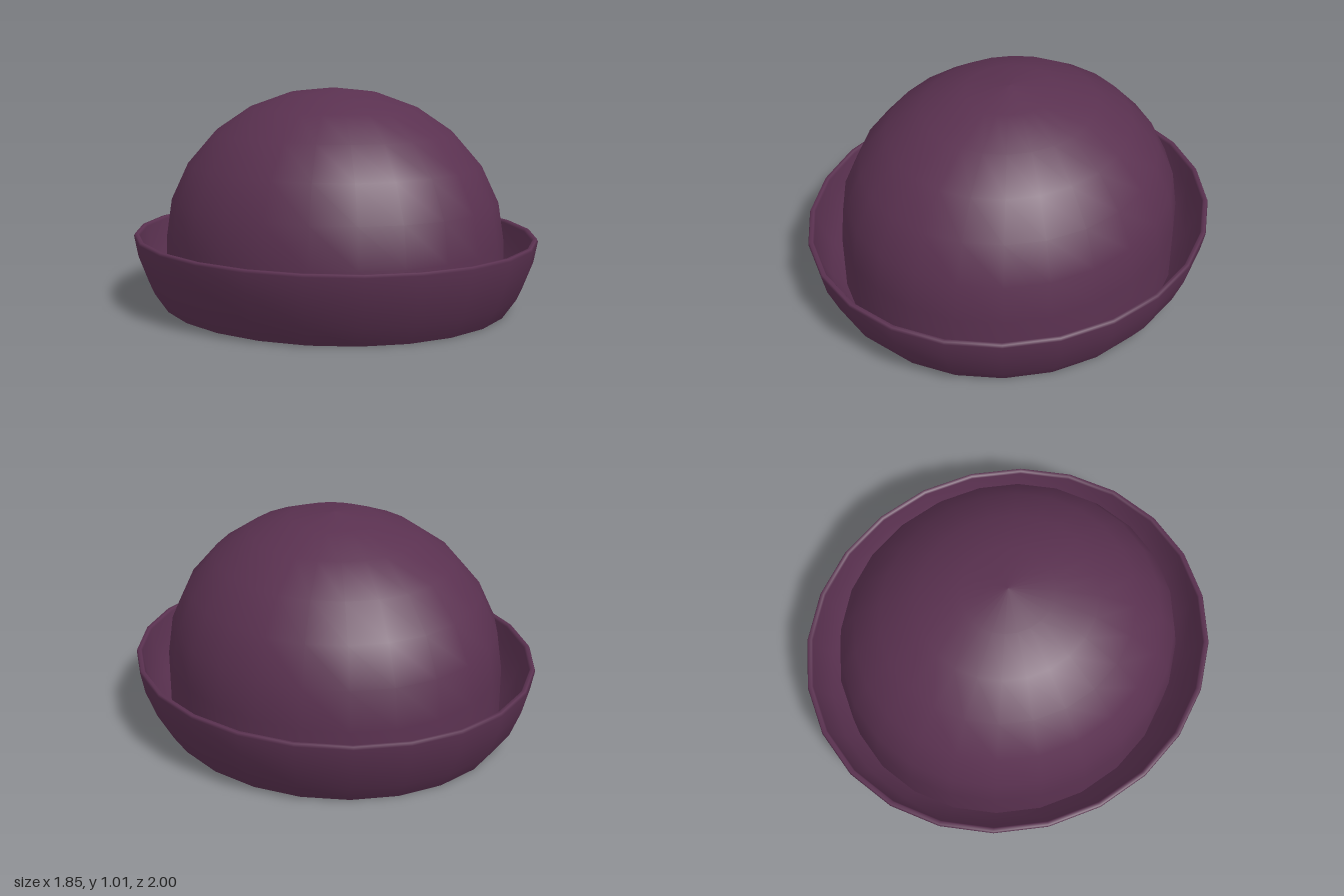
import * as THREE from 'three';

const SEGMENTS = 24;
const DEPTH = 1.08; // the hat is an oval, longer from front to back

export function createModel() {
  const hat = new THREE.Group();
  hat.name = 'hat';
  const felt = new THREE.MeshStandardMaterial({ color: 0x5a3150 });
  felt.name = 'plum felt';

  // Turns a profile of [radius, height] pairs into an oval part
  function addPart(name, profile) {
    const points = profile.map(([r, y]) => new THREE.Vector2(r, y));
    const geometry = new THREE.LatheGeometry(points, SEGMENTS);
    geometry.scale(1, 1, DEPTH);
    const mesh = new THREE.Mesh(geometry, felt);
    mesh.name = name;
    hat.add(mesh);
  }

  // Half-dome profile from the open edge up to the pole
  function dome(radius, height, baseY) {
    const profile = [[radius, 0]];
    for (let i = 0; i <= 6; i++) {
      const a = (i / 6) * Math.PI / 2;
      profile.push([i === 6 ? 0 : radius * Math.cos(a), baseY + height * Math.sin(a)]);
    }
    return profile;
  }

  // Crown outside, and its lining seen from below
  addPart('crown', dome(0.775, 0.705, 0.31));
  addPart('lining', dome(0.757, 0.685, 0.31).reverse());

  // Upturned brim: outer wall, rounded lip, inner wall down to the crown
  addPart('brim', [
    [0.80, 0], [0.86, 0.09], [0.908, 0.22], [0.926, 0.318],
    [0.921, 0.33], [0.906, 0.33], [0.9, 0.318],
    [0.884, 0.225], [0.838, 0.105], [0.77, 0.02],
  ]);

  // Narrow bottom edge joining lining and brim
  addPart('bottomEdge', [[0.757, 0], [0.80, 0]]);

  return hat;
}
